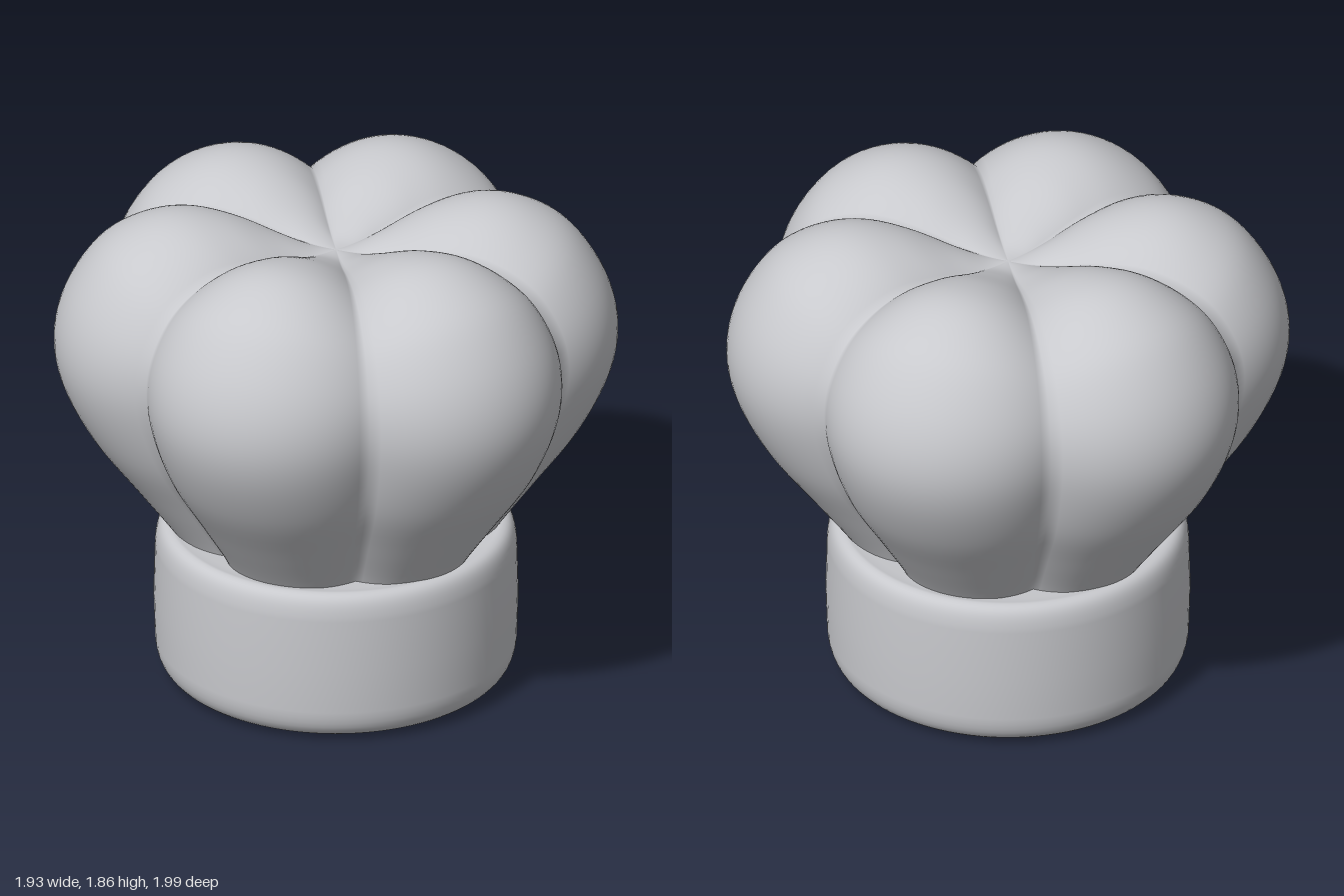
import * as THREE from 'three';

const v2 = (pts) => pts.map(([x, y]) => new THREE.Vector2(x, y));

// Puffed crown: each angle blends a bulging lobe profile with a valley profile
function crownGeometry(lobes = 6, perLobe = 24, rows = 64) {
  const lobe = new THREE.SplineCurve(v2([
    [0.5, 0.46], [0.59, 0.6], [0.72, 0.78], [0.87, 0.99], [0.97, 1.2], [0.995, 1.38], [0.95, 1.56],
    [0.84, 1.73], [0.7, 1.825], [0.55, 1.86], [0.38, 1.83], [0.2, 1.75], [0.08, 1.7], [0, 1.69],
  ]));
  const valley = new THREE.SplineCurve(v2([
    [0.44, 0.46], [0.5, 0.6], [0.61, 0.78], [0.74, 0.99], [0.82, 1.2], [0.845, 1.36], [0.82, 1.5],
    [0.74, 1.63], [0.62, 1.71], [0.48, 1.745], [0.33, 1.735], [0.18, 1.705], [0.08, 1.692], [0, 1.69],
  ]));
  const cols = lobes * perLobe;
  const pos = [], index = [];
  for (let j = 0; j <= rows; j++) {
    const a = lobe.getPoint(j / rows), b = valley.getPoint(j / rows);
    for (let i = 0; i < cols; i++) {
      const u = ((i % perLobe) / perLobe) * 2 - 1; // -1..1 across one lobe
      const w = 1 - u * u;
      const r = b.x + (a.x - b.x) * w;
      const y = b.y + (a.y - b.y) * w;
      const t = ((i / perLobe - 0.5) / lobes) * Math.PI * 2;
      pos.push(Math.sin(t) * r * 1.045, y, Math.cos(t) * r);
    }
  }
  for (let j = 0; j < rows; j++) {
    for (let i = 0; i < cols; i++) {
      const n = (i + 1) % cols;
      const p = j * cols + i, q = j * cols + n, s = p + cols, t = q + cols;
      index.push(p, q, t);
      if (j < rows - 1) index.push(p, t, s); // last row closes on the centre
    }
  }
  const g = new THREE.BufferGeometry();
  g.setAttribute('position', new THREE.Float32BufferAttribute(pos, 3));
  g.setIndex(index);
  g.computeVertexNormals();
  // One shared upward normal where the rows meet in the centre
  for (let i = 0; i < cols; i++) g.attributes.normal.setXYZ(rows * cols + i, 0, 1, 0);
  return g;
}

// Solid head band with softly rounded rims
function bandGeometry() {
  const outline = new THREE.Path();
  outline.moveTo(0, 0);
  outline.lineTo(0.54, 0.004);
  outline.bezierCurveTo(0.62, 0.008, 0.655, 0.04, 0.66, 0.13);
  outline.lineTo(0.665, 0.3);
  outline.lineTo(0.66, 0.5);
  outline.bezierCurveTo(0.655, 0.57, 0.64, 0.6, 0.6, 0.6);
  outline.lineTo(0.56, 0.59);
  outline.lineTo(0.4, 0.58);
  return new THREE.LatheGeometry(outline.getPoints(10), 96);
}

export function createModel() {
  const cloth = new THREE.MeshStandardMaterial({ color: 0xc8c9cd });
  cloth.name = 'cloth';

  const hat = new THREE.Group();
  hat.name = 'chefHat';

  const band = new THREE.Mesh(bandGeometry(), cloth);
  band.name = 'headBand';
  const crown = new THREE.Mesh(crownGeometry(), cloth);
  crown.name = 'puffedCrown';

  hat.add(band, crown);
  return hat;
}
